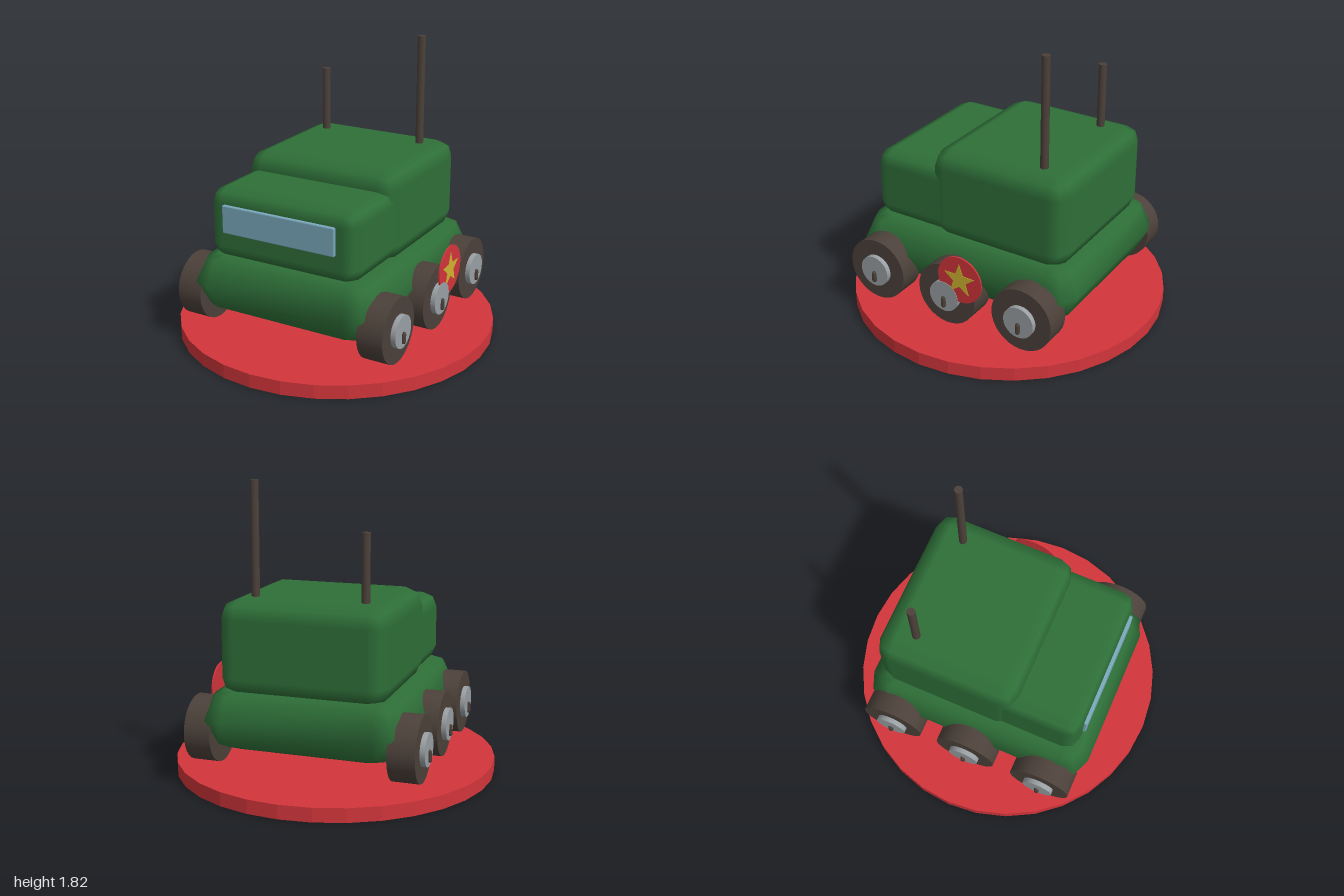
import * as THREE from 'three';
import { RoundedBoxGeometry } from 'three/addons/geometries/RoundedBoxGeometry.js';

const mat = (name, color) => {
  const m = new THREE.MeshStandardMaterial({ color });
  m.name = name;
  return m;
};

// Smooth body lofted through rounded rectangles; each level is [y, halfX, halfZ, cornerRadius]
function loftedHull(levels, steps = 2) {
  const pos = [], index = [];
  for (const [y, hx, hz, r] of levels) {
    for (let q = 0; q < 4; q++) {
      const sx = q === 0 || q === 3 ? 1 : -1, sz = q < 2 ? 1 : -1;
      for (let k = 0; k <= steps; k++) {
        const a = (q + k / steps) * Math.PI / 2;
        pos.push(sx * (hx - r) + r * Math.cos(a), y, sz * (hz - r) + r * Math.sin(a));
      }
    }
  }
  const n = 4 * (steps + 1), last = (levels.length - 1) * n;
  for (let j = 0; j < levels.length - 1; j++) {
    for (let i = 0; i < n; i++) {
      const a = j * n + i, b = j * n + (i + 1) % n;
      index.push(a, a + n, b, b, a + n, b + n);
    }
  }
  // Flat bottom and top
  const base = pos.length / 3;
  pos.push(0, levels[0][0], 0, 0, levels[levels.length - 1][0], 0);
  for (let i = 0; i < n; i++) {
    const k = (i + 1) % n;
    index.push(base, i, k, base + 1, last + k, last + i);
  }
  const g = new THREE.BufferGeometry();
  g.setAttribute('position', new THREE.Float32BufferAttribute(pos, 3));
  g.setIndex(index);
  g.computeVertexNormals();
  return g;
}

export function createModel() {
  const model = new THREE.Group();
  model.name = 'sixWheeledTruck';
  const green = mat('bodyGreen', 0x2e6f38);
  const red = mat('red', 0xd2353b);
  const brown = mat('darkBrown', 0x4c413a);
  const grey = mat('hubGrey', 0x9aa0a4);
  const blue = mat('windowBlue', 0x7aa9bd);
  const yellow = mat('starYellow', 0xd0b430);

  const add = (name, geometry, material, x, y, z, parent = model) => {
    const m = new THREE.Mesh(geometry, material);
    m.name = name;
    m.position.set(x, y, z);
    parent.add(m);
    return m;
  };

  // Faceted round stand
  const stand = new THREE.CylinderGeometry(1, 1, 0.086, 32).toNonIndexed();
  stand.computeVertexNormals();
  add('stand', stand, red, 0, 0.043, 0);

  // Hull and the two cabin blocks
  add('hull', loftedHull([
    [0.24, 0.47, 0.60, 0.08],
    [0.275, 0.54, 0.68, 0.10],
    [0.43, 0.62, 0.757, 0.16],
    [0.575, 0.555, 0.695, 0.11],
    [0.602, 0.49, 0.63, 0.08],
  ]), green, 0, 0, 0);
  add('rearCabin', new RoundedBoxGeometry(1.03, 0.57, 0.92, 1, 0.11), green, 0, 0.855, -0.21);
  add('frontCabin', new RoundedBoxGeometry(1.0, 0.44, 0.76, 1, 0.09), green, 0, 0.81, 0.285);

  // Windscreen
  add('windscreen', new RoundedBoxGeometry(0.76, 0.175, 0.04, 1, 0.008), blue, -0.005, 0.855, 0.664);

  // Antennas
  for (const [name, x, top] of [['rightAntenna', -0.335, 1.545], ['leftAntenna', 0.343, 1.823]]) {
    const h = top - 1.1;
    add(name, new THREE.CylinderGeometry(0.025, 0.025, h, 10), brown, x, 1.1 + h / 2, -0.45);
  }

  // Wheels with hub and small peg, three on each side
  const tyre = new THREE.CylinderGeometry(0.2, 0.2, 0.165, 32).rotateZ(Math.PI / 2);
  const hub = new THREE.CylinderGeometry(0.1, 0.1, 0.05, 24).rotateZ(Math.PI / 2);
  const peg = new THREE.CapsuleGeometry(0.016, 0.045, 3, 8);
  for (const side of [1, -1]) {
    for (const z of [0.52, 0, -0.518]) {
      const wheel = new THREE.Group();
      wheel.name = side > 0 ? 'leftWheel' : 'rightWheel';
      wheel.position.set(0, 0.33, z);
      model.add(wheel);
      add('tyre', tyre, brown, side * 0.6225, 0, 0, wheel);
      add('hub', hub, grey, side * 0.711, 0, 0, wheel);
      add('peg', peg, brown, side * 0.738, -0.037, 0, wheel);
    }
  }

  // Round badge with a five-pointed star on the left side
  const badge = new THREE.CylinderGeometry(0.152, 0.152, 0.01, 32).rotateZ(Math.PI / 2);
  add('badgeDisc', badge, red, 0.728, 0.48, -0.115);
  const shape = new THREE.Shape();
  for (let i = 0; i < 10; i++) {
    const r = i % 2 ? 0.045 : 0.11, a = Math.PI / 2 + i * Math.PI / 5;
    shape[i ? 'lineTo' : 'moveTo'](r * Math.cos(a), r * Math.sin(a));
  }
  shape.closePath();
  const star = new THREE.ExtrudeGeometry(shape, { depth: 0.004, bevelEnabled: false }).rotateY(Math.PI / 2);
  add('badgeStar', star, yellow, 0.732, 0.48, -0.115);

  return model;
}
